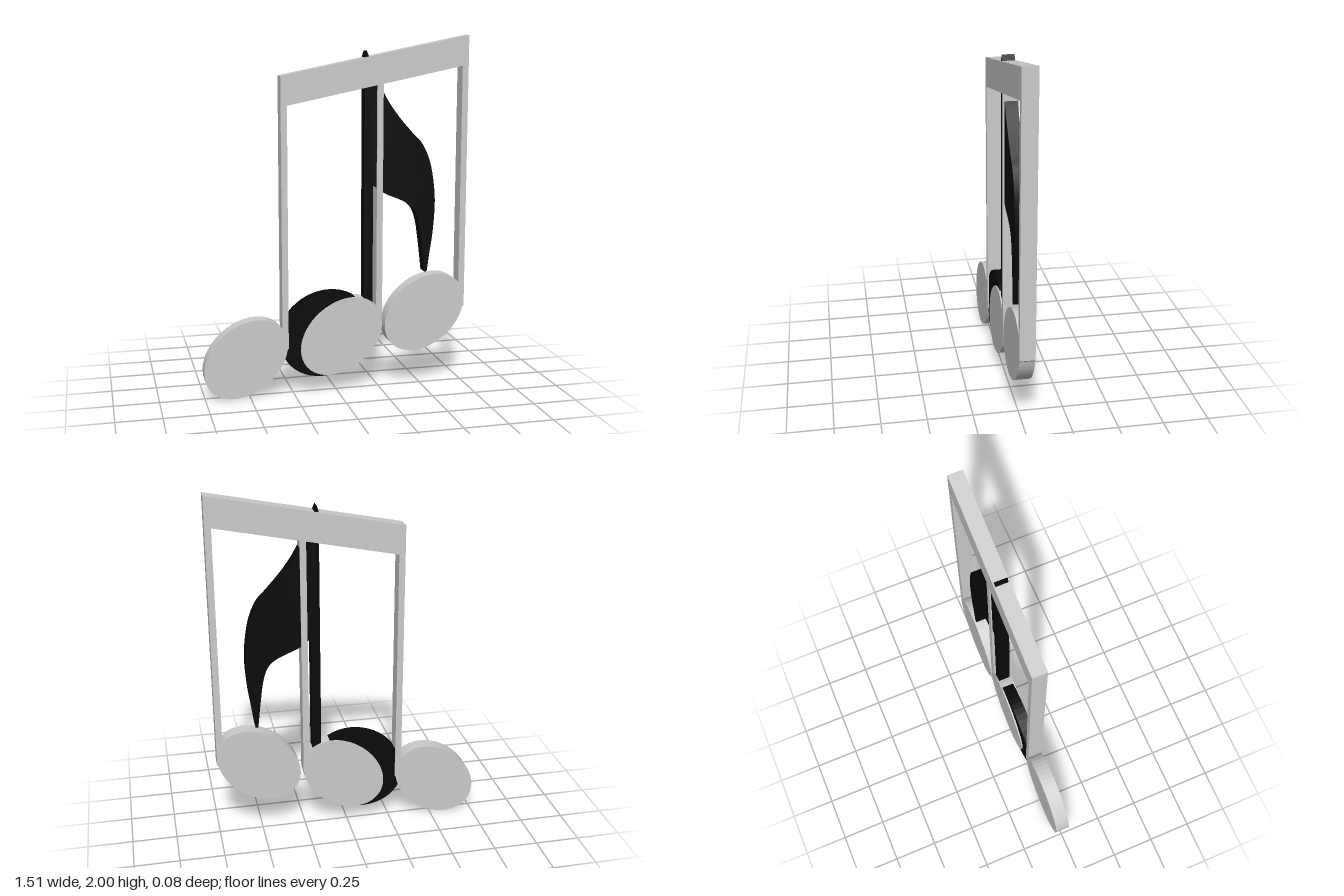
import * as THREE from 'three';

const grey = new THREE.MeshStandardMaterial({ color: 0xcccccc });
const black = new THREE.MeshStandardMaterial({ color: 0x0a0a0a });

// Flat plate cut from a shape, centred on z = 0
function plate(name, shape, depth, material) {
  const geometry = new THREE.ExtrudeGeometry(shape, { depth, bevelEnabled: false, curveSegments: 24 });
  geometry.translate(0, 0, -depth / 2);
  const mesh = new THREE.Mesh(geometry, material);
  mesh.name = name;
  return mesh;
}

const outline = (points) => new THREE.Shape(points.map(([x, y]) => new THREE.Vector2(x, y)));

// Tilted oval note head
function head(name, x, y, a, b, tilt, depth, material) {
  const shape = new THREE.Shape();
  shape.absellipse(x, y, a, b, 0, Math.PI * 2, false, tilt);
  return plate(name, shape, depth, material);
}

export function createModel() {
  const model = new THREE.Group();
  model.name = 'musicNotes';
  const thick = 0.084, thin = 0.068;

  // Three stems joined by a sloping beam
  const frame = outline([
    [-0.315, 0.25], [-0.28, 0.27], [-0.28, 1.625], [0.225, 1.729],
    [0.225, 0.36], [0.26, 0.36], [0.26, 1.736], [0.715, 1.83],
    [0.715, 0.42], [0.75, 0.46], [0.75, 2.0], [-0.315, 1.785],
  ]);
  model.add(plate('beamAndStems', frame, thick, grey));

  // Grey note heads
  [['leftmost', -0.52, 0.224], ['middle', 0.025, 0.322], ['rightmost', 0.512, 0.433]].forEach(([n, x, y]) =>
    model.add(head(n + 'NoteHead', x, y, 0.261, 0.191, 0.69, thick, grey)));

  // Black single note: head, then stem with curling flag
  const note = new THREE.Group();
  note.name = 'singleNote';
  note.add(head('singleNoteHead', -0.06, 0.338, 0.272, 0.235, 0.46, thin, black));

  const flag = new THREE.Shape();
  flag.moveTo(0.155, 0.33);
  flag.lineTo(0.205, 0.33);
  flag.lineTo(0.205, 1.18);
  const curve = (points) => flag.splineThru(points.map(([x, y]) => new THREE.Vector2(x, y)));
  curve([[0.27, 1.13], [0.35, 1.095], [0.41, 1.065], [0.45, 1.02], [0.475, 0.94], [0.495, 0.8], [0.51, 0.67]]);
  flag.lineTo(0.525, 0.67);
  curve([[0.54, 0.78], [0.557, 0.9], [0.567, 1.05], [0.56, 1.17], [0.535, 1.3], [0.49, 1.4],
    [0.43, 1.465], [0.34, 1.57], [0.26, 1.695], [0.165, 1.915]]);
  flag.lineTo(0.155, 1.885);
  note.add(plate('singleNoteStemAndFlag', flag, thin, black));
  model.add(note);

  return model;
}
